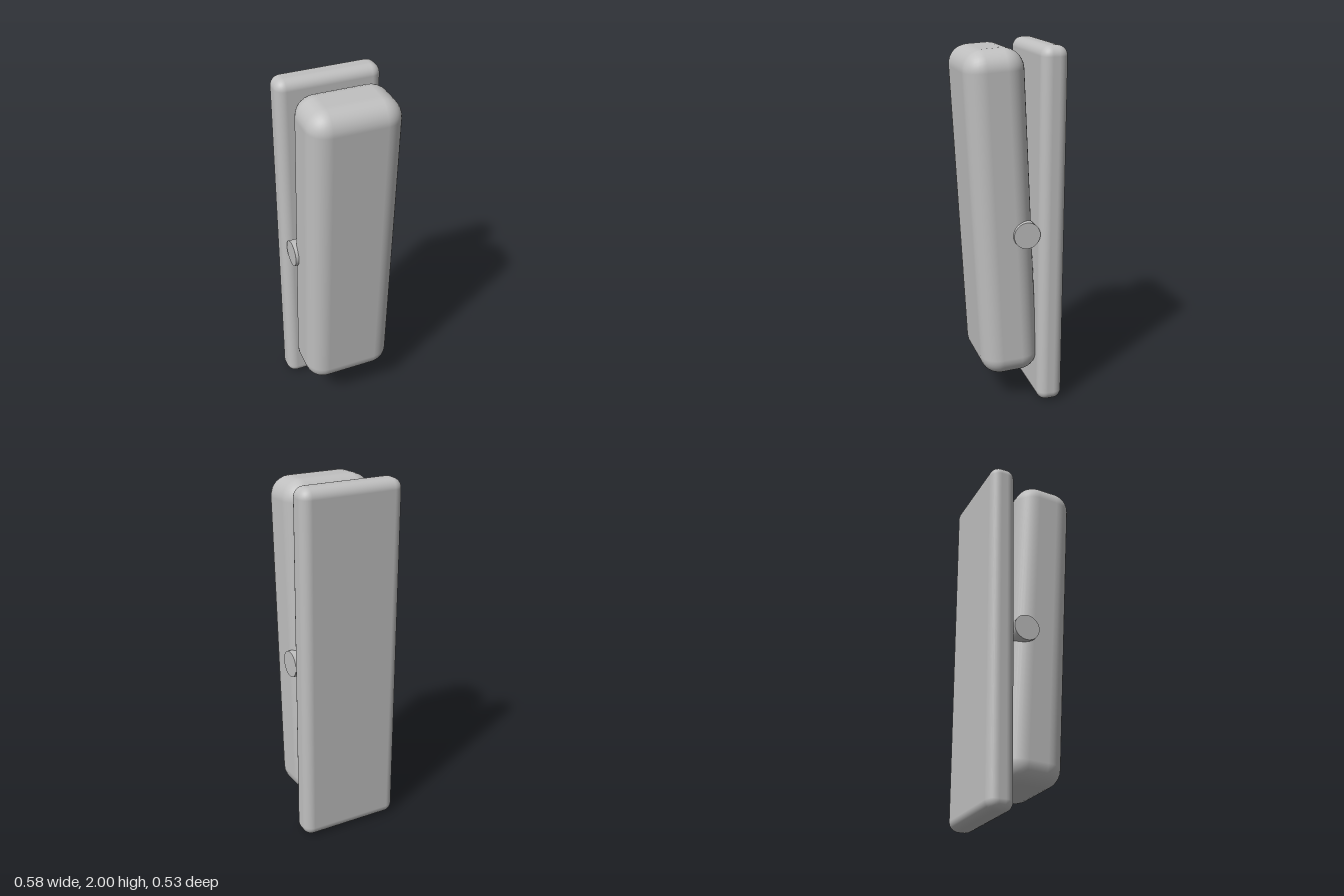
import * as THREE from 'three';
import { RoundedBoxGeometry } from 'three/addons/geometries/RoundedBoxGeometry.js';

export function createModel() {
  const group = new THREE.Group();
  const grey = new THREE.MeshStandardMaterial({ color: 0xc0c0c0 });
  grey.name = 'plain grey';

  const add = (name, geometry, x, y, z) => {
    const mesh = new THREE.Mesh(geometry, grey);
    mesh.name = name;
    mesh.position.set(x, y, z);
    group.add(mesh);
    return mesh;
  };

  // Upright backing plate with softly rounded edges
  add('backPlate', new RoundedBoxGeometry(0.58, 2, 0.145, 4, 0.055), 0, 1, -0.193);

  // Thick rocker paddle, its top leaning forward
  const paddle = add('rockerPaddle', new RoundedBoxGeometry(0.508, 1.817, 0.328, 4, 0.11), 0, 1.075, 0.061);
  paddle.rotation.x = THREE.MathUtils.degToRad(3);

  // Pivot pin running across the paddle
  const pin = new THREE.CylinderGeometry(0.073, 0.073, 0.544, 32);
  pin.rotateZ(Math.PI / 2);
  add('pivotPin', pin, 0, 1.005, -0.05);

  return group;
}
